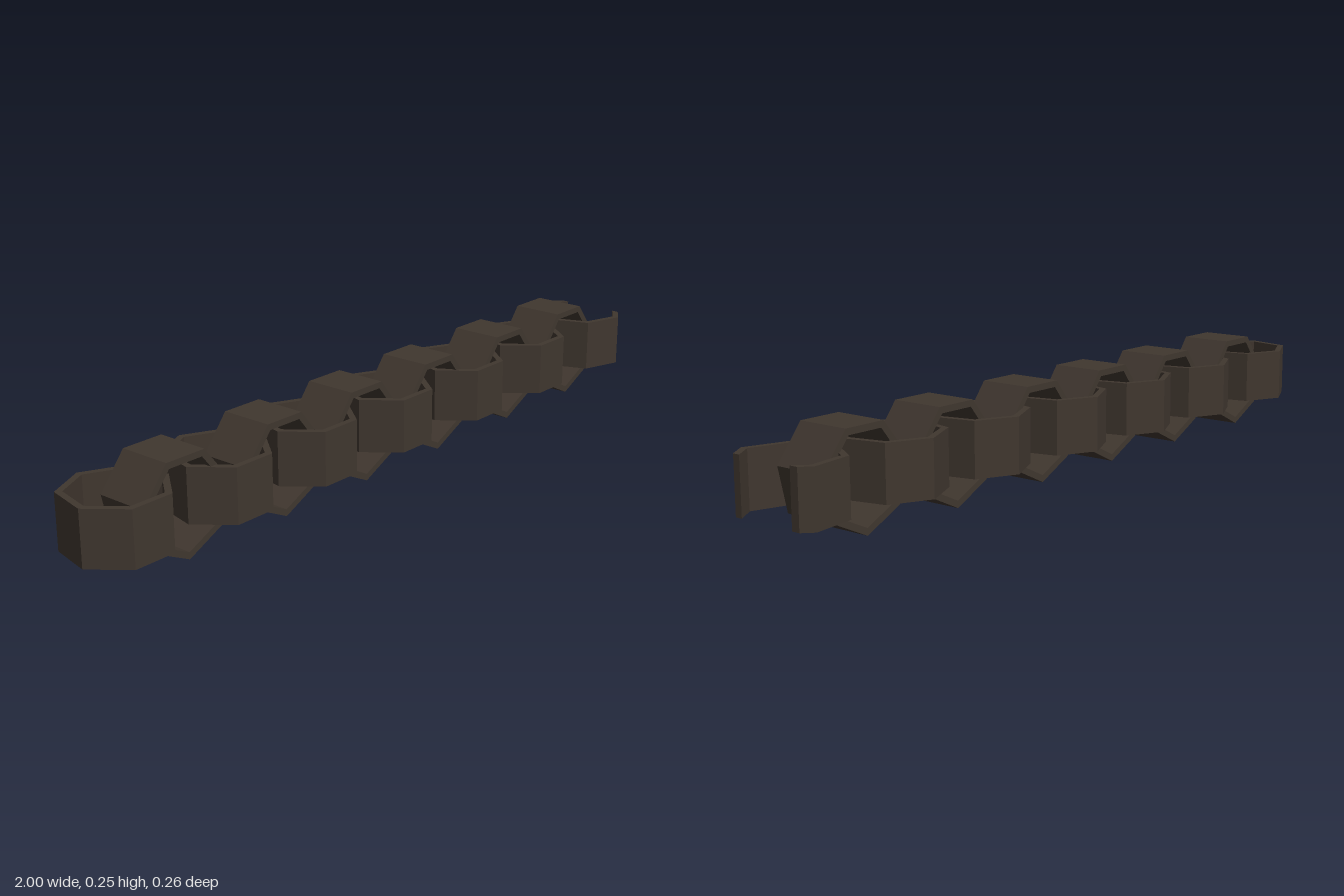
import * as THREE from 'three';

const R = 0.131;                                  // outer radius of a link
const WALL = 0.016;                               // band thickness
const WIDTH = 0.14;                               // band width
const INNER = R - WALL / Math.cos(Math.PI / 7);
const STEP = (Math.PI * 2) / 7;

// Corners of a seven-sided outline
function corners(radius, start, count = 7) {
  return Array.from({ length: count }, (_, i) => new THREE.Vector2(
    radius * Math.cos(start + i * STEP), radius * Math.sin(start + i * STEP)));
}

function band(shape) {
  const geometry = new THREE.ExtrudeGeometry(shape, { depth: WIDTH, bevelEnabled: false });
  geometry.translate(0, 0, -WIDTH / 2);
  return geometry;
}

// Closed link: one corner pointing down, flat side on top
function closedLink() {
  const shape = new THREE.Shape(corners(R, -Math.PI / 2));
  shape.holes.push(new THREE.Path(corners(INNER, -Math.PI / 2).reverse()));
  return band(shape);
}

// Open link: the same ring turned a little and cut off at x = cutX
function openLink(start, cutX) {
  const trimmed = (radius) => {
    const p = corners(radius, start);
    const cut = (a, b) => a.clone().lerp(b, (cutX - a.x) / (b.x - a.x));
    return [cut(p[1], p[0]), ...p.slice(1, 6), cut(p[5], p[6])];
  };
  return band(new THREE.Shape([...trimmed(R), ...trimmed(INNER).reverse()]));
}

export function createModel() {
  const model = new THREE.Group();
  model.name = 'chain';
  const darkMetal = new THREE.MeshStandardMaterial({ color: 0x40372f });
  darkMetal.name = 'darkMetal';

  const add = (geometry, name, x, flat, z = 0) => {
    const mesh = new THREE.Mesh(geometry, darkMetal);
    mesh.name = name;
    mesh.position.set(x, R, z);
    if (flat) mesh.rotation.x = Math.PI / 2;
    model.add(mesh);
  };

  // Links alternate between lying flat and standing upright
  const link = closedLink();
  [-0.872, -0.565, -0.27, 0.025, 0.334, 0.628].forEach((x, i) => add(link, `flatLink${i + 1}`, x, true));
  [-0.73, -0.414, -0.12, 0.17, 0.484, 0.778].forEach((x, i) => add(link, `uprightLink${i + 1}`, x, false));

  // Broken link at the end of the chain
  const endX = 0.934;
  add(openLink(THREE.MathUtils.degToRad(30.8), 1 - endX), 'openEndLink', endX, true, 0.002);
  return model;
}
